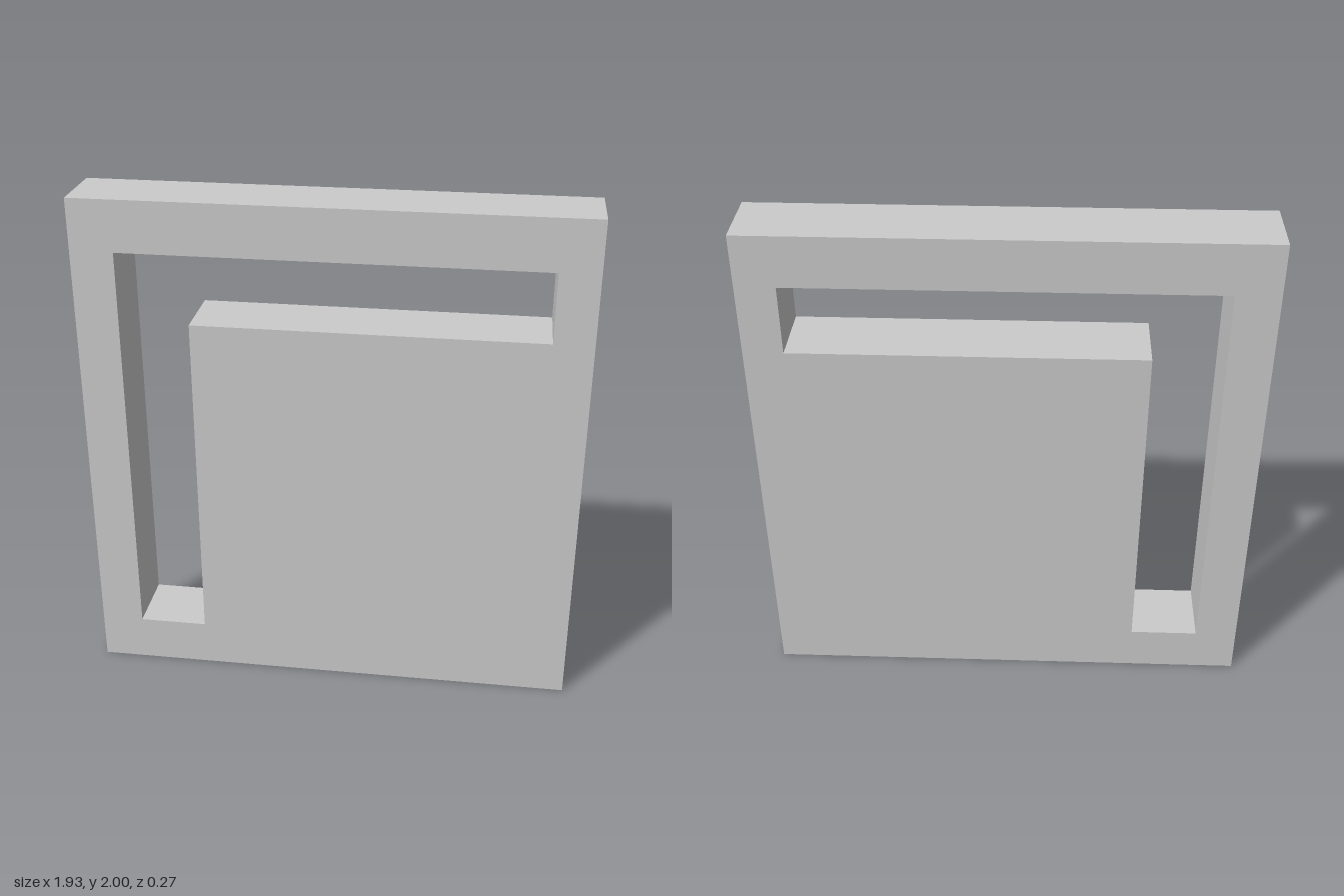
import * as THREE from 'three';

const polygon = (points) => points.map(([x, y]) => new THREE.Vector2(x, y));

export function createModel() {
  const group = new THREE.Group();
  const halfWidth = 0.967, height = 2, depth = 0.27;

  // Upright slab outline
  const outline = new THREE.Shape(polygon([
    [-halfWidth, 0], [halfWidth, 0], [halfWidth, height], [-halfWidth, height],
  ]));

  // L-shaped slot running up the side and along the top
  outline.holes.push(new THREE.Path(polygon([
    [-0.8, 0.185], [-0.8, 1.8], [0.815, 1.8],
    [0.815, 1.53], [-0.53, 1.53], [-0.53, 0.185],
  ])));

  const geometry = new THREE.ExtrudeGeometry(outline, { depth, bevelEnabled: false });
  geometry.translate(0, 0, -depth / 2);

  const panel = new THREE.Mesh(
    geometry,
    new THREE.MeshStandardMaterial({ color: 0xcccccc, flatShading: true }),
  );
  panel.name = 'slottedPanel';
  group.add(panel);
  return group;
}
